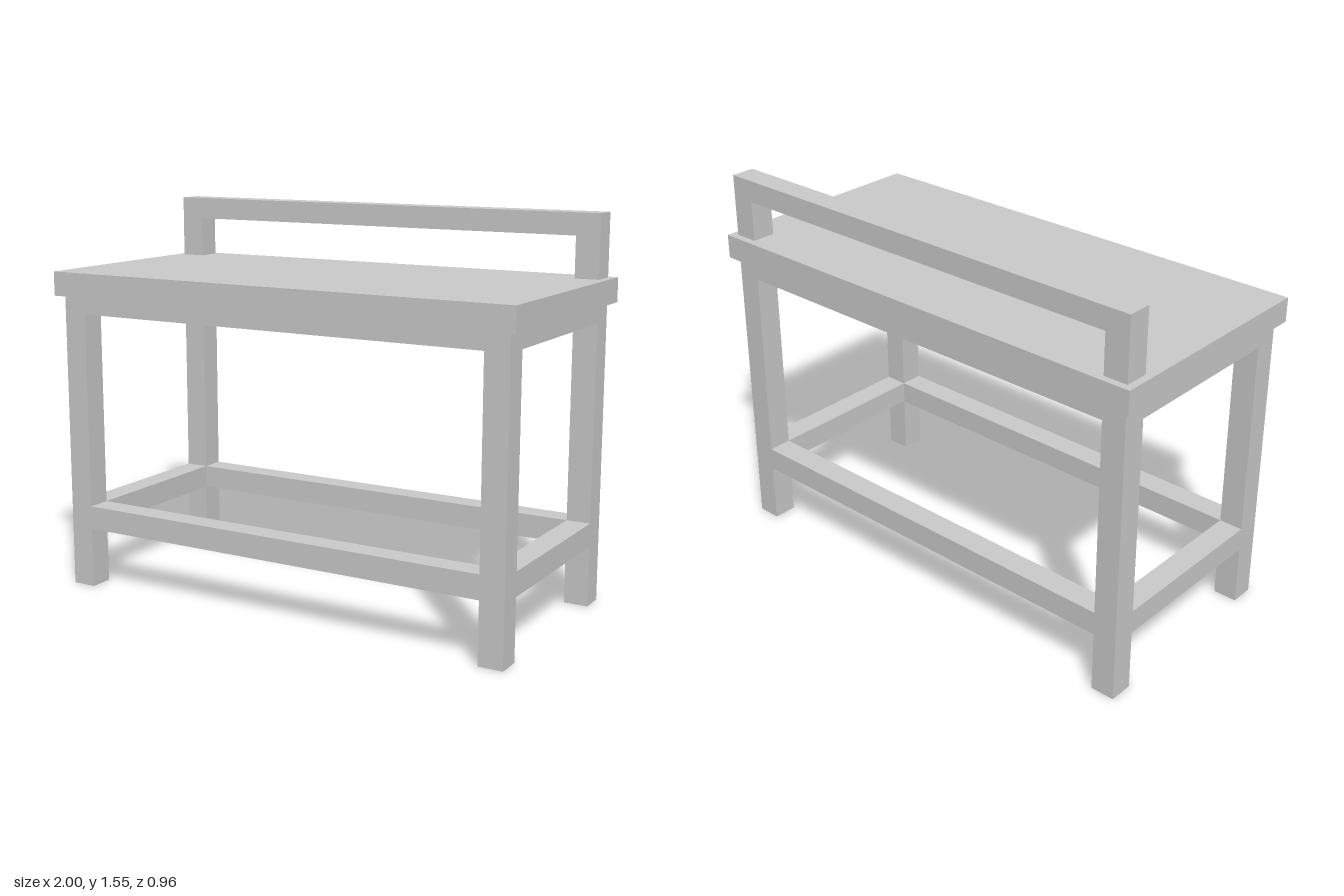
import * as THREE from 'three';

export function createModel() {
  const bench = new THREE.Group();
  bench.name = 'workbench';
  const material = new THREE.MeshStandardMaterial({ color: 0xcccccc, flatShading: true });

  // Box given by its extents on each axis
  const addBox = (name, [x0, x1], [y0, y1], [z0, z1]) => {
    const mesh = new THREE.Mesh(new THREE.BoxGeometry(x1 - x0, y1 - y0, z1 - z0), material);
    mesh.position.set((x0 + x1) / 2, (y0 + y1) / 2, (z0 + z1) / 2);
    mesh.name = name;
    bench.add(mesh);
  };
  // Mirrors an extent to the negative side when needed
  const side = (s, a, b) => (s > 0 ? [a, b] : [-b, -a]);

  const legX = [0.872, 0.97], legZ = [0.353, 0.451];
  const topBottom = 1.2, topSurface = 1.297, railTop = 1.548;
  const spanX = [-legX[0], legX[0]], spanZ = [-legZ[0], legZ[0]];
  const stretcherY = [0.245, 0.34], apronY = [1.13, topBottom];

  addBox('tabletop', [-1, 1], [topBottom, topSurface], [-0.48, 0.48]);

  for (const s of [-1, 1]) {
    const x = side(s, ...legX), z = side(s, ...legZ);
    const lr = s > 0 ? 'left' : 'right', fb = s > 0 ? 'front' : 'back';

    // Legs
    addBox(lr + 'FrontLeg', x, [0, topBottom], side(1, ...legZ));
    addBox(lr + 'BackLeg', x, [0, topBottom], side(-1, ...legZ));

    // Lower stretchers and the apron under the top
    addBox(fb + 'Stretcher', spanX, stretcherY, z);
    addBox(lr + 'Stretcher', x, stretcherY, spanZ);
    addBox(fb + 'Apron', spanX, apronY, z);
    addBox(lr + 'Apron', x, apronY, spanZ);

    // Posts of the back rail
    addBox(lr + 'RailPost', x, [topSurface, railTop], side(-1, ...legZ));
  }

  // Back rail between the posts
  addBox('backRail', spanX, [1.46, railTop], side(-1, ...legZ));

  return bench;
}
